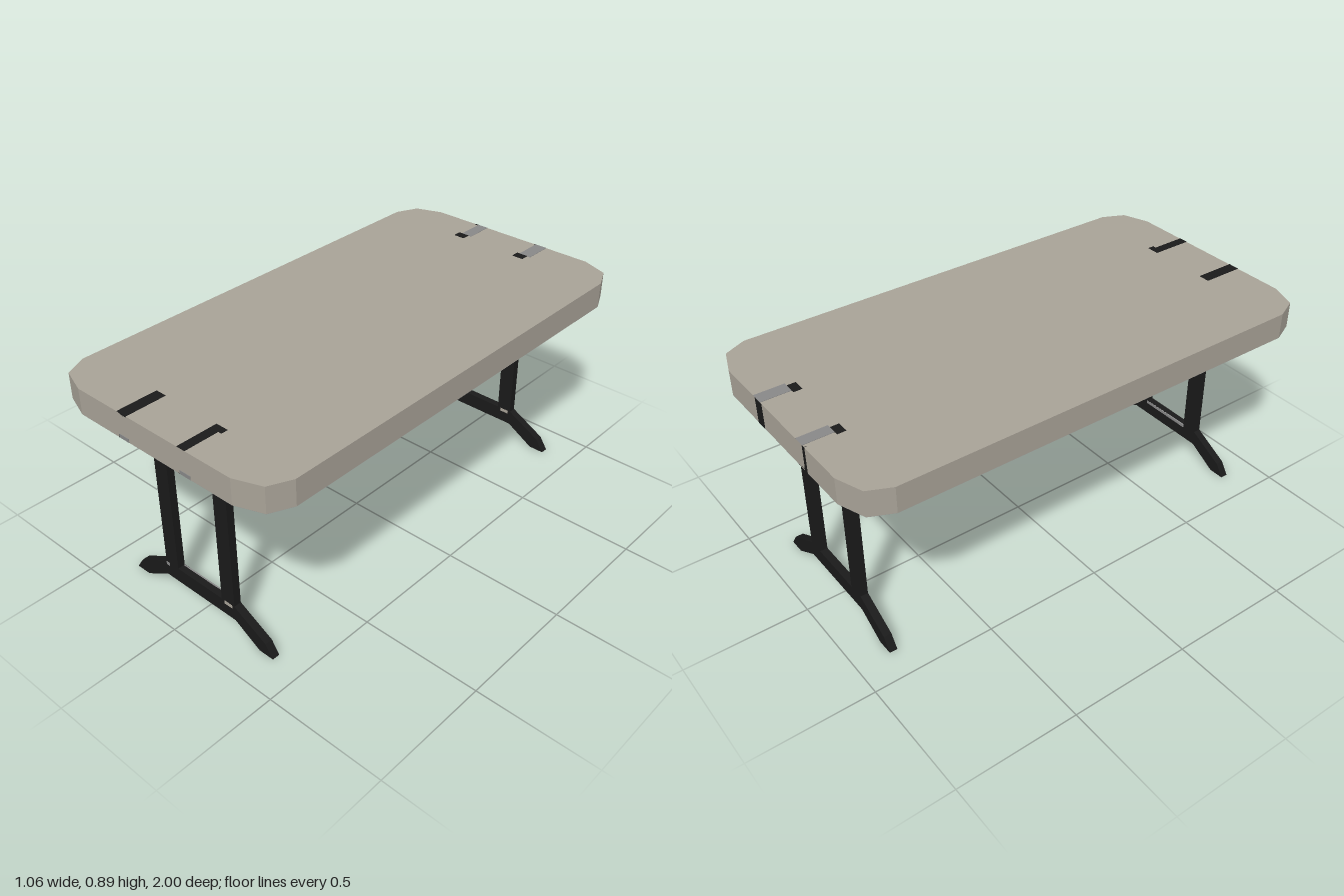
import * as THREE from 'three';

const mat = (color) => new THREE.MeshStandardMaterial({ color });

export function createModel() {
  const model = new THREE.Group();
  model.name = 'table';
  const stone = mat(0xa8a297), black = mat(0x1a1a1a), grey = mat(0x888888);
  const TOP = 0.885, BOTTOM = 0.78, LEG_Z = 0.848, THICK = 0.032, E = 0.0015;

  // Solid between two corners
  function box(name, material, [x0, x1], [y0, y1], [z0, z1], parent = model) {
    const mesh = new THREE.Mesh(new THREE.BoxGeometry(x1 - x0, y1 - y0, z1 - z0), material);
    mesh.position.set((x0 + x1) / 2, (y0 + y1) / 2, (z0 + z1) / 2);
    mesh.name = name;
    parent.add(mesh);
  }

  // Tabletop with faceted corners
  const corner = [[0.38, 1], [0.49, 0.96], [0.532, 0.87]];
  const back = [...corner].reverse();
  const outline = new THREE.Shape([
    ...back.map(([x, z]) => [x, z]),
    ...corner.map(([x, z]) => [-x, z]),
    ...back.map(([x, z]) => [-x, -z]),
    ...corner.map(([x, z]) => [x, -z]),
  ].map(([x, z]) => new THREE.Vector2(x, z)));
  const slab = new THREE.Mesh(
    new THREE.ExtrudeGeometry(outline, { depth: TOP - BOTTOM, bevelEnabled: false }), stone);
  slab.rotation.x = Math.PI / 2;
  slab.position.y = TOP;
  slab.name = 'tabletop';
  model.add(slab);

  // Grey underside
  const underside = new THREE.Mesh(new THREE.ShapeGeometry(outline), grey);
  underside.rotation.x = Math.PI / 2;
  underside.scale.z = -1;
  underside.material = grey.clone();
  underside.material.side = THREE.DoubleSide;
  underside.position.y = BOTTOM - E / 2;
  underside.name = 'underside';
  model.add(underside);

  // Rails under the top, dark at their ends
  for (const s of [-1, 1]) {
    const x = [s * 0.15 - 0.025, s * 0.15 + 0.025];
    box('underRail', stone, x, [BOTTOM - E, BOTTOM + 0.01], [-0.84, 0.84]);
    for (const e of [-1, 1]) {
      box('railEnd', black, x, [BOTTOM - E, BOTTOM + 0.01], [e * 0.92 - 0.08, e * 0.92 + 0.08]);
    }
  }

  // Inlays showing on the top and the end faces
  const topY = [TOP - 0.01, TOP + E];
  box('frontInlay', black, [-0.17, -0.123], topY, [0.83, 1]);
  box('frontInlay', black, [0.132, 0.17], topY, [0.83, 1]);
  box('frontInlay', black, [0.165, 0.185], topY, [0.83, 0.857]);
  box('backInlay', grey, [-0.17, -0.123], topY, [-1, -0.88]);
  box('backInlay', grey, [0.132, 0.185], topY, [-1, -0.88]);
  box('backInlayCap', black, [-0.185, -0.137], topY, [-0.88, -0.845]);
  box('backInlayCap', black, [0.12, 0.17], topY, [-0.88, -0.845]);
  box('endInlay', black, [0.123, 0.17], [BOTTOM, TOP], [-1 - E, -0.99]);
  box('endInlay', black, [-0.185, -0.17], [BOTTOM, TOP], [-1 - E, -0.99]);
  box('endPlate', grey, [-0.17, -0.122], [BOTTOM, 0.795], [0.99, 1 + E]);
  box('endPlate', grey, [0.135, 0.187], [BOTTOM, 0.795], [0.99, 1 + E]);

  // Trestle legs: splayed foot and two posts
  const half = [[0.375, 0], [0.34, 0.052], [0.187, 0.135]];
  const under = [[0.187, 0.071], [0.308, 0]];
  const foot = new THREE.Shape([
    ...half,
    ...[...half].reverse().map(([x, y]) => [-x, y]),
    ...[...under].reverse().map(([x, y]) => [-x, y]),
    ...under,
  ].map(([x, y]) => new THREE.Vector2(x, y)));
  const footGeo = new THREE.ExtrudeGeometry(foot, { depth: THICK, bevelEnabled: false });
  footGeo.translate(0, 0, -THICK / 2);
  for (const e of [-1, 1]) {
    const leg = new THREE.Group();
    leg.name = e > 0 ? 'frontLeg' : 'backLeg';
    leg.position.z = e * LEG_Z;
    const footMesh = new THREE.Mesh(footGeo, black);
    footMesh.name = 'foot';
    leg.add(footMesh);
    for (const s of [-1, 1]) {
      box('post', black, [s * 0.153 - 0.033, s * 0.153 + 0.033], [0.13, BOTTOM + 0.005],
        [-THICK / 2, THICK / 2], leg);
    }
    // Small plates at the post joints
    const face = [THICK / 2 - 0.005, THICK / 2 + E];
    box('jointPlate', grey, [-0.185, -0.168], [0.121, 0.135], face, leg);
    box('jointPlate', stone, [0.135, 0.175], [0.121, 0.135], face, leg);
    if (e > 0) box('crossbarStrip', grey, [-0.12, 0.12], [0.123, 0.135],
      [-THICK / 2 - E, -THICK / 2 + 0.005], leg);
    model.add(leg);
  }
  return model;
}
